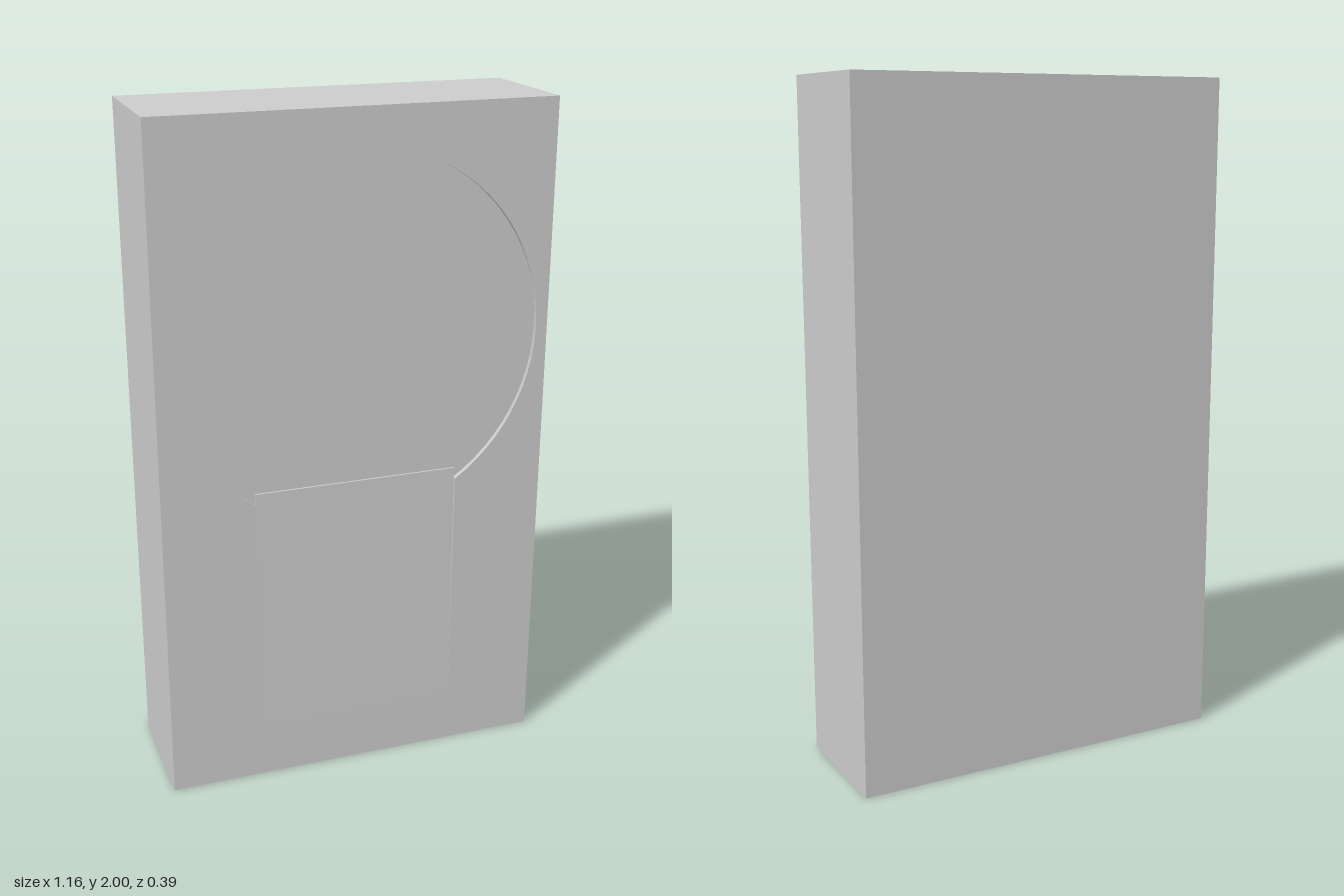
import * as THREE from 'three';

const W = 1.16, H = 2, BACK = -0.195, FRONT = 0.195, FLOOR = 0.181;
const DISC_Y = 1.35, DISC_R = 0.545, SLOT_X = 0.305, SLOT_BOTTOM = 0.165, SLOT_TOP = 0.93;

export function createModel() {
  const group = new THREE.Group();
  const material = new THREE.MeshStandardMaterial({ color: 0xcccccc, flatShading: true });
  const add = (name, geometry) => {
    const mesh = new THREE.Mesh(geometry, material);
    mesh.name = name;
    group.add(mesh);
  };

  // Solid block; its front is the floor of the round recess
  const body = new THREE.BoxGeometry(W, H, FLOOR - BACK);
  body.translate(0, H / 2, (FLOOR + BACK) / 2);
  add('block', body);

  // Thin front layer with a keyhole-shaped opening
  const face = new THREE.Shape([
    new THREE.Vector2(-W / 2, 0), new THREE.Vector2(W / 2, 0),
    new THREE.Vector2(W / 2, H), new THREE.Vector2(-W / 2, H),
  ]);
  const start = -Math.acos(SLOT_X / DISC_R);
  const opening = new THREE.Path();
  opening.moveTo(-SLOT_X, SLOT_BOTTOM);
  opening.lineTo(SLOT_X, SLOT_BOTTOM);
  opening.absarc(0, DISC_Y, DISC_R, start, Math.PI - start, false);
  opening.closePath();
  face.holes.push(opening);
  const layer = new THREE.ExtrudeGeometry(face, {
    depth: FRONT - FLOOR, bevelEnabled: false, curveSegments: 32,
  });
  layer.translate(0, 0, FLOOR);
  add('frontLayer', layer);

  // Shallow ramp, flush at the bottom and sinking towards the round recess
  const profile = new THREE.Shape([
    new THREE.Vector2(FLOOR, SLOT_BOTTOM), new THREE.Vector2(FRONT, SLOT_BOTTOM),
    new THREE.Vector2(FRONT - 0.008, SLOT_TOP), new THREE.Vector2(FLOOR, SLOT_TOP),
  ]);
  const ramp = new THREE.ExtrudeGeometry(profile, { depth: SLOT_X * 2, bevelEnabled: false });
  ramp.rotateY(-Math.PI / 2);
  ramp.translate(SLOT_X, 0, 0);
  add('ramp', ramp);

  return group;
}
